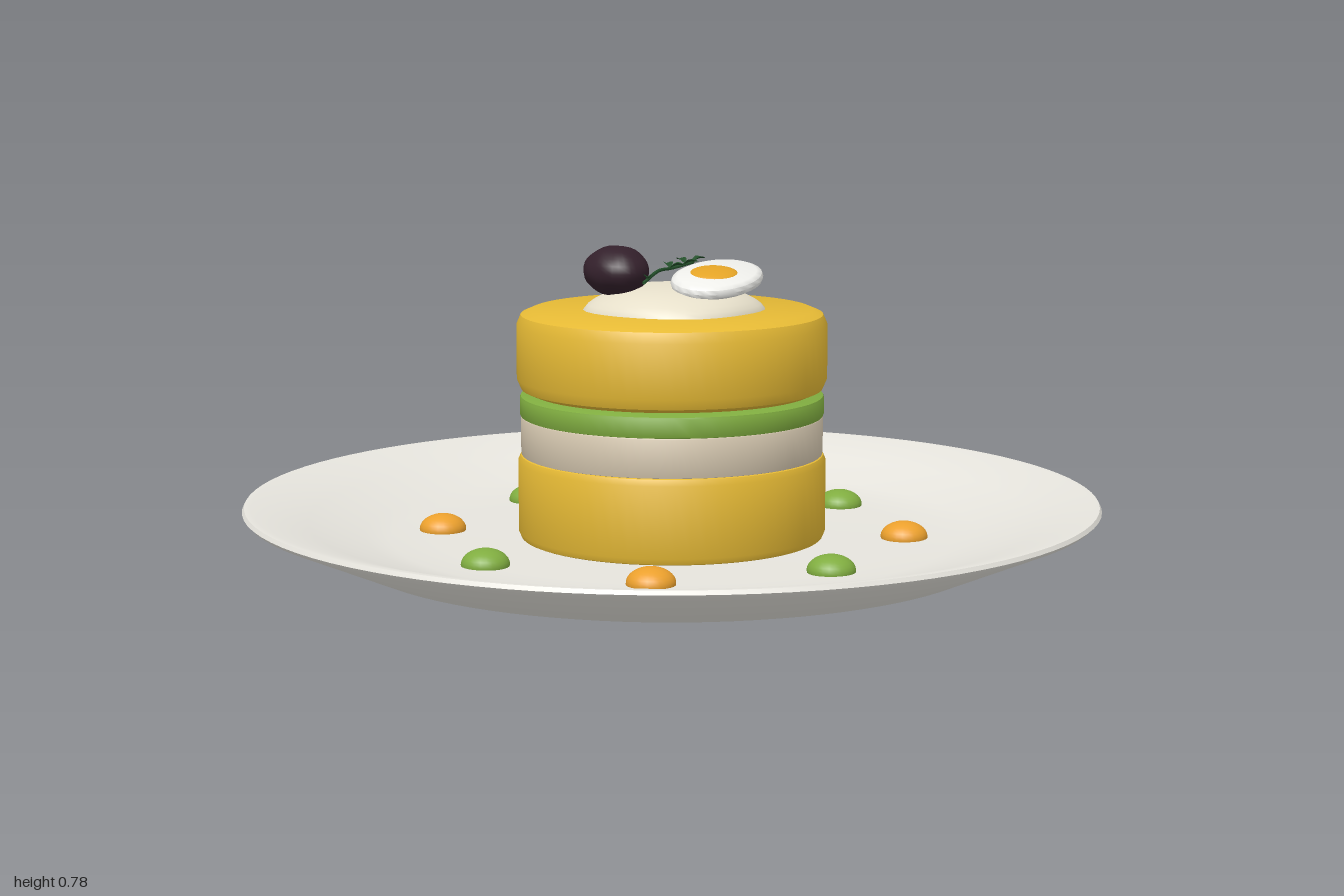
import * as THREE from 'three';
import { toCreasedNormals } from 'three/addons/utils/BufferGeometryUtils.js';

const mat = (color, extra = {}) => new THREE.MeshStandardMaterial({ color, ...extra });

function add(parent, name, geometry, material, x = 0, y = 0, z = 0) {
  const mesh = new THREE.Mesh(geometry, material);
  mesh.name = name;
  mesh.position.set(x, y, z);
  parent.add(mesh);
  return mesh;
}

// Profile points run from the bottom axis, out and round to the top axis.
function lathe(points, segments = 64, crease = 0.6) {
  const g = new THREE.LatheGeometry(points.map(p => new THREE.Vector2(...p)), segments);
  return toCreasedNormals(g, crease);
}

// Disc layer with bevelled edges.
function layer(r, y0, y1, b) {
  const c = b * 0.3;
  return lathe([
    [0, y0], [r - b, y0], [r - c, y0 + c], [r, y0 + b],
    [r, y1 - b], [r - c, y1 - c], [r - b, y1], [0, y1],
  ]);
}

// Sphere scaled to an ellipsoid, with its surface gently rippled.
function blob(rx, ry, rz, ripple, freq) {
  const g = new THREE.SphereGeometry(1, 32, 20);
  const p = g.attributes.position;
  const v = new THREE.Vector3();
  for (let i = 0; i < p.count; i++) {
    v.fromBufferAttribute(p, i);
    const k = 1 + ripple * Math.sin(freq * v.x + 1) * Math.cos(freq * v.z) * Math.cos(freq * v.y * 0.7);
    p.setXYZ(i, v.x * k * rx, v.y * k * ry, v.z * k * rz);
  }
  g.computeVertexNormals();
  return g;
}

export function createModel() {
  const model = new THREE.Group();
  model.name = 'platedStack';
  const yellow = mat(0xe6ba35);
  const green = mat(0x80ad40);
  const orange = mat(0xeba02d);

  // Plate with foot ring, sloping rim and shallow well
  add(model, 'plate', lathe([
    [0, 0.025], [0.375, 0.025], [0.39, 0], [0.45, 0], [0.485, 0.048],
    [0.71, 0.06], [0.75, 0.07], [0.99, 0.175], [1, 0.185], [0.995, 0.194],
    [0.98, 0.194], [0.85, 0.155], [0.72, 0.118], [0.66, 0.107], [0.55, 0.104], [0, 0.104],
  ], 96), mat(0xe6e4dd));

  // Stacked layers
  add(model, 'bottomLayer', layer(0.36, 0.1, 0.305, 0.02), yellow);
  add(model, 'creamLayer', layer(0.353, 0.3, 0.392, 0.004), mat(0xd8cab2));
  add(model, 'greenLayer', layer(0.355, 0.39, 0.44, 0.006), green);
  add(model, 'topLayer', layer(0.362, 0.445, 0.638, 0.034), yellow);

  // Soft dollop on top
  add(model, 'dollop', blob(0.21, 0.07, 0.21, 0.035, 4), mat(0xe6dfca), 0, 0.628, -0.01);

  // Tilted egg slice with yolk
  const egg = new THREE.Group();
  egg.name = 'eggSlice';
  egg.position.set(0.09, 0.709, -0.055);
  egg.rotation.set(0.14, 0, -0.12);
  model.add(egg);
  const white = add(egg, 'eggWhite', lathe([
    [0, -0.016], [0.085, -0.016], [0.097, -0.009], [0.1, 0],
    [0.097, 0.009], [0.085, 0.015], [0, 0.015],
  ], 40, 0.9), mat(0xeeeeea));
  white.scale.z = 1.36;
  white.rotation.y = 0.2;
  const yolk = add(egg, 'yolk', new THREE.SphereGeometry(0.057, 28, 14), mat(0xe3a326), -0.008, 0.012, 0.002);
  yolk.scale.y = 0.2;

  // Dark olive
  const olive = add(model, 'olive', blob(0.094, 0.058, 0.074, 0.03, 6), mat(0x33202b), -0.102, 0.727, 0.08);
  olive.rotation.y = -0.5;

  // Herb sprig: stem plus small folded leaves
  const herb = mat(0x234f2a, { side: THREE.DoubleSide });
  const sprig = new THREE.Group();
  sprig.name = 'herbSprig';
  model.add(sprig);
  const stem = new THREE.CatmullRomCurve3([
    new THREE.Vector3(-0.012, 0.705, 0.09), new THREE.Vector3(-0.018, 0.727, 0.03),
    new THREE.Vector3(-0.03, 0.728, -0.04), new THREE.Vector3(-0.015, 0.738, -0.1),
  ]);
  add(sprig, 'stem', new THREE.TubeGeometry(stem, 16, 0.004, 6), herb);
  const leafGeometry = new THREE.PlaneGeometry(1, 1, 6, 2).rotateX(-Math.PI / 2);
  const lp = leafGeometry.attributes.position;
  for (let i = 0; i < lp.count; i++) {
    const t = lp.getX(i) + 0.5;
    const w = Math.sin(Math.PI * t) * lp.getZ(i);
    lp.setXYZ(i, t * 0.052, Math.abs(w) * 0.016 + Math.sin(t * 3) * 0.006, w * 0.03);
  }
  leafGeometry.computeVertexNormals();
  // Each leaf: position along the stem, heading
  [[0.1, -0.9], [0.12, -2.2], [0.6, 0.6], [0.62, 2.5], [0.85, 0.3], [0.88, 2.8], [0.97, 1.2]].forEach(([t, heading]) => {
    const leaf = add(sprig, 'leaf', leafGeometry, herb);
    leaf.position.copy(stem.getPoint(t));
    leaf.rotation.set(0, heading, 0.2);
    leaf.scale.setScalar(0.75);
  });

  // Ring of alternating sauce drops
  const drop = new THREE.SphereGeometry(0.055, 24, 16);
  for (let i = 0; i < 8; i++) {
    const a = 0.197 + i * Math.PI / 4;
    const dot = add(model, i % 2 ? 'orangeDrop' : 'greenDrop', drop, i % 2 ? orange : green,
      0.545 * Math.cos(a), 0.108, 0.545 * Math.sin(a));
    dot.scale.y = 0.65;
  }
  return model;
}
